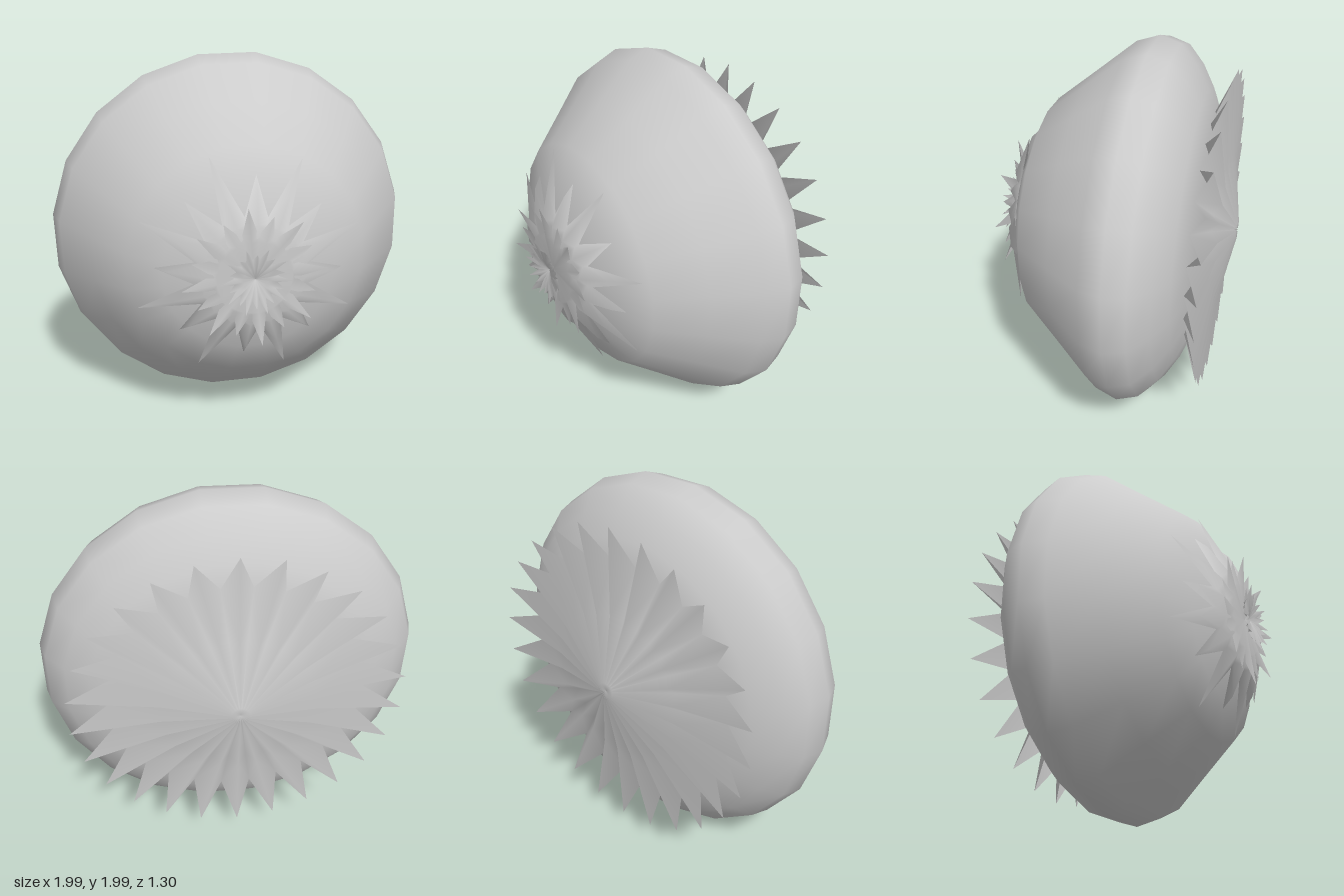
import * as THREE from 'three';

const material = new THREE.MeshStandardMaterial({ color: 0xcccccc, side: THREE.DoubleSide });
const deg = Math.PI / 180;

// Pleated star around z. Each row is [tip radius, tip z, valley radius, valley z];
// shortScale pulls in every other tip, with its z moved to shortZ on the last row.
function star(name, count, phase, rows, shortScale = 1, shortZ = null) {
  const columns = count * 2, positions = [], index = [];
  rows.forEach(([tipR, tipZ, valleyR, valleyZ], j) => {
    const last = j === rows.length - 1;
    for (let i = 0; i < columns; i++) {
      const tip = i % 2 === 0, short = i % 4 === 2;
      const r = tip ? tipR * (short && last ? shortScale : 1) : valleyR;
      const z = tip ? (short && last && shortZ !== null ? shortZ : tipZ) : valleyZ;
      const a = phase * deg + (i / columns) * Math.PI * 2;
      positions.push(r * Math.cos(a), r * Math.sin(a), z);
    }
  });
  // Outward order depends on which way the star faces
  const back = rows[0][1] < 0;
  for (let j = 0; j < rows.length - 1; j++) {
    for (let i = 0; i < columns; i++) {
      const n = (i + 1) % columns;
      const a = j * columns + i, b = j * columns + n, c = a + columns, d = b + columns;
      // Mirror the diagonal so it always starts at the ridge
      const tris = i % 2 === 0 ? [a, c, d, a, d, b] : [a, c, b, b, c, d];
      if (back) tris.reverse();
      index.push(...tris);
    }
  }
  const geometry = new THREE.BufferGeometry();
  geometry.setAttribute('position', new THREE.Float32BufferAttribute(positions, 3));
  geometry.setIndex(index);
  geometry.computeVertexNormals();
  const mesh = new THREE.Mesh(geometry, material);
  mesh.name = name;
  return mesh;
}

export function createModel() {
  const model = new THREE.Group();
  model.name = 'model';
  const flower = new THREE.Group();
  flower.name = 'fruitWithStars';
  flower.position.y = 0.99;
  model.add(flower);

  // Round body, turned around the z axis
  const profile = [
    [0, -0.51], [0.35, -0.505], [0.62, -0.48], [0.75, -0.43], [0.87, -0.36], [0.97, -0.27],
    [1.005, -0.16], [0.965, -0.04], [0.8, 0.16], [0.625, 0.375], [0.45, 0.455], [0.25, 0.53], [0, 0.55],
  ].map(([r, z]) => new THREE.Vector2(r, z));
  const bodyGeometry = new THREE.LatheGeometry(profile, 20);
  bodyGeometry.rotateX(Math.PI / 2);
  bodyGeometry.rotateZ(10 * deg);
  const body = new THREE.Mesh(bodyGeometry, material);
  body.name = 'body';
  flower.add(body);

  // Pleated leaf crown at the back
  flower.add(star('backCrown', 26, 90, [
    [0, -0.645, 0, -0.645],
    [0.05, -0.655, 0.04, -0.635],
    [0.4, -0.59, 0.38, -0.54],
    [0.86, -0.57, 0.65, -0.48],
  ]));

  // Front petals: long and short spikes lying on the body
  flower.add(star('outerPetals', 16, 19, [
    [0.14, 0.575, 0.14, 0.57],
    [0.27, 0.57, 0.24, 0.545],
    [0.43, 0.495, 0.27, 0.53],
    [0.61, 0.41, 0.3, 0.515],
  ], 0.8, 0.44));

  // Middle ring of flaring spikes
  flower.add(star('middlePetals', 16, 6, [
    [0, 0.575, 0, 0.575],
    [0.19, 0.59, 0.19, 0.58],
    [0.37, 0.605, 0.215, 0.56],
  ], 0.88, 0.58));

  // Small cupped crown in the centre
  flower.add(star('innerPetals', 20, 0, [
    [0, 0.595, 0, 0.595],
    [0.07, 0.625, 0.06, 0.605],
    [0.18, 0.645, 0.11, 0.61],
  ], 0.8, 0.64));

  return model;
}
